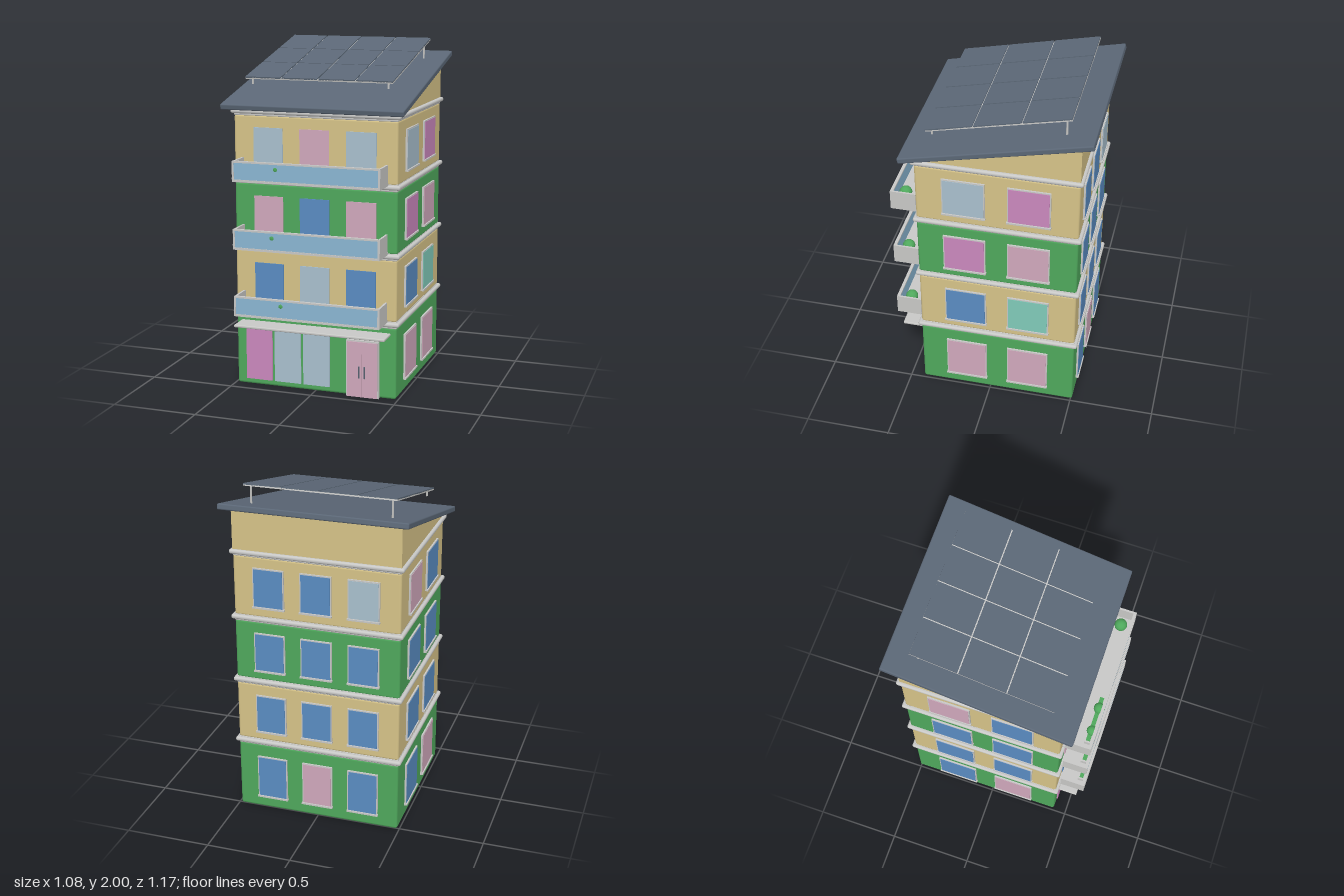
import * as THREE from 'three';
import { RoundedBoxGeometry } from 'three/addons/geometries/RoundedBoxGeometry.js';

function material(name, color) {
  const m = new THREE.MeshStandardMaterial({ color });
  m.name = name;
  return m;
}

export function createModel() {
  const model = new THREE.Group();
  model.name = 'apartmentBuilding';

  const green = material('green', 0x4fa85c);
  const tan = material('tan', 0xd6c388);
  const slate = material('slate', 0x5b6776);
  const grey = material('grey', 0xc8c8c6);
  const railGlass = material('railGlass', 0x8ab6d2);
  const blue = material('blueGlass', 0x5a8cc2);
  const pale = material('paleGlass', 0xa9c0ce);
  const pink = material('pinkGlass', 0xd0a8bc);
  const magenta = material('magentaGlass', 0xca88bd);
  const teal = material('tealGlass', 0x80cab9);

  const add = (parent, name, geometry, mat, x, y, z) => {
    const mesh = new THREE.Mesh(geometry, mat);
    mesh.name = name;
    mesh.position.set(x, y, z);
    parent.add(mesh);
    return mesh;
  };
  const box = (parent, name, mat, w, h, d, x, y, z) =>
    add(parent, name, new THREE.BoxGeometry(w, h, d), mat, x, y, z);
  const rounded = (parent, name, mat, w, h, d, r, x, y, z) =>
    add(parent, name, new RoundedBoxGeometry(w, h, d, 2, r), mat, x, y, z);

  const W = 0.975, D = 0.93, CZ = -0.045; // wall width, depth and centre
  const front = CZ + D / 2, back = CZ - D / 2;
  const base = [0, 0.455, 0.848, 1.24];
  const top = [0.425, 0.82, 1.213, 1.605];

  // Storeys and the rounded ledges above them
  base.forEach((y, i) => {
    const h = top[i] - y;
    rounded(model, 'storey', i % 2 ? tan : green, W, h, D, 0.015, 0, y + h / 2, CZ);
    rounded(model, 'ledgeCore', grey, W, 0.045, D, 0.006, 0, top[i] + 0.015, CZ);
    rounded(model, 'ledge', grey, 1.01, 0.026, 0.965, 0.012, 0, top[i] + 0.018, CZ);
  });

  // Framed window with a sill, facing local +z
  function framedWindow(w, h, glass, x, y, z, turn) {
    const g = new THREE.Group();
    g.name = 'window';
    box(g, 'windowFrame', grey, w + 0.014, h + 0.014, 0.014, 0, 0, 0.003);
    box(g, 'windowGlass', glass, w, h, 0.004, 0, 0, 0.0105);
    box(g, 'windowSill', grey, w + 0.02, 0.01, 0.022, 0, -h / 2 - 0.007, 0.007);
    g.position.set(x, y, z);
    g.rotation.y = turn;
    model.add(g);
  }

  // Side and back windows, listed by storey from the ground up
  const leftSide = [[pink, pink], [blue, teal], [magenta, pink], [pale, magenta]];
  const rightSide = [[pink, blue], [blue, blue], [blue, blue], [blue, pink]];
  const rear = [[blue, pink, blue], [blue, blue, blue], [blue, blue, blue], [blue, blue, pale]];
  const middle = [0.212, 0.632, 1.027, 1.422];
  middle.forEach((y, i) => {
    const h = i ? 0.222 : 0.255;
    [0.142, -0.23].forEach((z, k) => {
      framedWindow(0.232, h, leftSide[i][k], W / 2, y, z, Math.PI / 2);
      framedWindow(0.232, h, rightSide[i][k], -W / 2, y, z, -Math.PI / 2);
    });
    [0.278, 0, -0.278].forEach((x, k) => framedWindow(0.17, h, rear[i][k], x, y, back, Math.PI));
  });

  // Balcony windows on the front
  const frontGlass = [[blue, pale, blue], [pink, blue, pink], [pale, pink, pale]];
  frontGlass.forEach((row, i) => row.forEach((glass, k) => {
    const bottom = base[i + 1] + 0.03, high = middle[i + 1] + 0.112;
    box(model, 'balconyWindow', glass, 0.176, high - bottom, 0.008,
      (k - 1) * 0.278, (high + bottom) / 2, front + 0.002);
  }));

  // Balconies with glass front, side panels and plants
  const plants = [[-0.32, -0.15], [-0.3, -0.2], [-0.315, -0.175]];
  plants.forEach((spots, i) => {
    const b = new THREE.Group();
    b.name = 'balcony';
    b.position.y = base[i + 1];
    model.add(b);
    box(b, 'balconyFloor', grey, 0.87, 0.014, 0.165, 0, 0.009, 0.5);
    box(b, 'balconyFront', railGlass, 0.85, 0.1, 0.01, 0, 0.062, 0.576);
    box(b, 'topRail', grey, 0.87, 0.01, 0.018, 0, 0.116, 0.575);
    box(b, 'bottomRail', grey, 0.87, 0.01, 0.018, 0, 0.007, 0.575);
    for (const s of [-1, 1]) {
      box(b, 'balconySide', grey, 0.012, 0.118, 0.148, s * 0.43, 0.061, 0.508);
      box(b, 'railPost', grey, 0.01, 0.118, 0.018, s * 0.43, 0.061, 0.575);
    }
    box(b, 'planter', grey, 0.29, 0.035, 0.038, -0.235, 0.033, 0.548);
    box(b, 'planterLeaves', green, 0.27, 0.012, 0.024, -0.235, 0.05, 0.548);
    spots.forEach((x, k) =>
      add(b, 'bush', new THREE.SphereGeometry(0.029 + 0.003 * k, 16, 12), green, x, 0.083, 0.552));
    add(b, 'pot', new THREE.CylinderGeometry(0.024, 0.018, 0.03, 16), grey, 0.355, 0.03, 0.515);
    add(b, 'potBush', new THREE.SphereGeometry(0.037, 16, 12), green, 0.355, 0.07, 0.515);
  });

  // Shop windows
  [[-0.345, magenta], [-0.168, pale], [0.01, pale]].forEach(([x, glass]) =>
    box(model, 'shopWindow', glass, 0.163, 0.325, 0.009, x, 0.197, front + 0.003));

  // Double door and canopy
  box(model, 'doorFrame', grey, 0.194, 0.338, 0.022, 0.293, 0.169, front + 0.008);
  for (const s of [-1, 1]) {
    box(model, 'doorLeaf', pink, 0.089, 0.328, 0.01, 0.293 + s * 0.0458, 0.166, front + 0.021);
    add(model, 'doorHandle', new THREE.CylinderGeometry(0.004, 0.004, 0.07, 8), slate,
      0.293 + s * 0.016, 0.152, front + 0.033);
  }
  rounded(model, 'canopy', grey, 0.91, 0.016, 0.13, 0.006, 0, 0.385, 0.482);

  // Wedge-shaped attic under the sloping roof
  const wedge = new THREE.Shape([
    new THREE.Vector2(back, 1.63), new THREE.Vector2(front, 1.63),
    new THREE.Vector2(front, 1.665), new THREE.Vector2(back, 1.875)]);
  const attic = add(model, 'attic',
    new THREE.ExtrudeGeometry(wedge, { depth: W, bevelEnabled: false }), tan, W / 2, 0, 0);
  attic.rotation.y = -Math.PI / 2;

  // Roof slab
  const pitch = 0.2275;
  rounded(model, 'roof', slate, 1.08, 0.034, 1.105, 0.008, 0, 1.775, -0.042).rotation.x = pitch;

  // Solar array: backing frame, panels and supports
  const solar = new THREE.Group();
  solar.name = 'solarArray';
  solar.position.set(0, 1.9, -0.042);
  solar.rotation.x = pitch;
  model.add(solar);
  box(solar, 'panelFrame', grey, 0.876, 0.008, 0.824, 0, -0.003, 0);
  for (let c = 0; c < 4; c++) {
    for (let r = 0; r < 3; r++) {
      box(solar, 'solarPanel', slate, 0.213, 0.008, 0.27, (c - 1.5) * 0.221, 0.003, (r - 1) * 0.277);
    }
  }
  for (const x of [-0.405, 0.405]) {
    add(model, 'backSupport', new THREE.CylinderGeometry(0.006, 0.006, 0.12, 8), grey, x, 1.925, -0.412);
    add(model, 'frontSupport', new THREE.CylinderGeometry(0.006, 0.006, 0.035, 8), grey, x, 1.787, 0.33);
  }

  return model;
}
